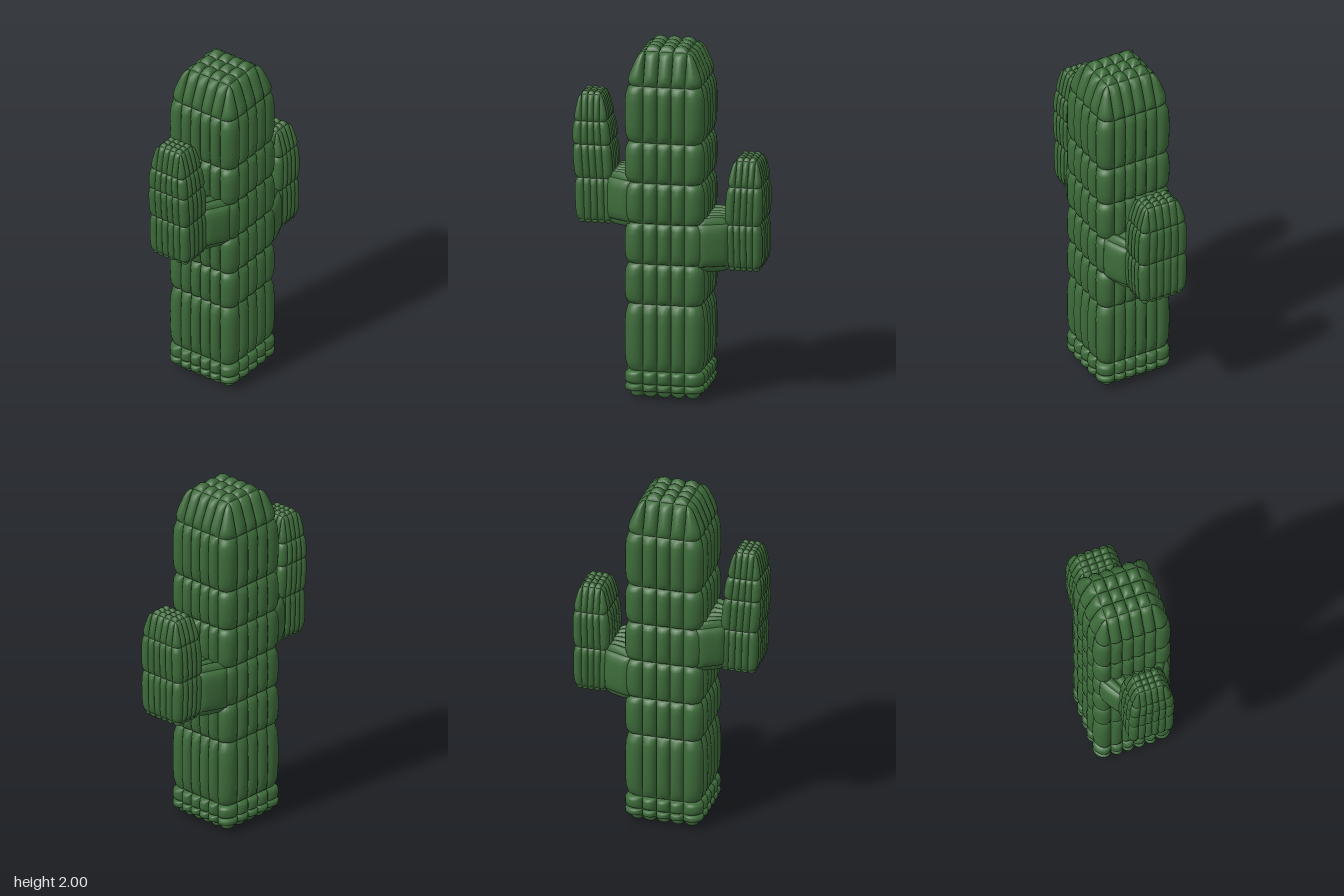
import * as THREE from 'three';
import { mergeGeometries } from 'three/addons/utils/BufferGeometryUtils.js';

const NX = 6, NZ = 5; // ribs across the front and across the side

const lerp = (a, b, t) => a + (b - a) * t;
const round = t => Math.sqrt(Math.max(0, 1 - (2 * t - 1) ** 2));
const plump = t => Math.sqrt(Math.max(0, 1 - (2 * t - 1) ** 4));
const soft = v => Math.sign(v) * Math.abs(v) ** 0.65;

// One smooth patch, with points crowded towards its edges
function patch(point, nu, nv) {
  const pos = [], index = [];
  const ease = (i, n) => (1 - Math.cos(Math.PI * i / n)) / 2;
  for (let j = 0; j <= nv; j++)
    for (let i = 0; i <= nu; i++) pos.push(...point(ease(i, nu), ease(j, nv)));
  for (let j = 0; j < nv; j++)
    for (let i = 0; i < nu; i++) {
      const a = j * (nu + 1) + i, b = a + 1, c = a + nu + 1, d = c + 1;
      index.push(a, b, d, a, d, c);
    }
  const g = new THREE.BufferGeometry();
  g.setAttribute('position', new THREE.Float32BufferAttribute(pos, 3));
  g.setIndex(index);
  g.computeVertexNormals();
  return g;
}

// Puffed four-cornered cell, corners counter-clockwise from outside
function pillow(a, b, c, d, h, bu = round, bv = round, n = 6) {
  const [A, B, C, D] = [a, b, c, d].map(p => new THREE.Vector3(...p));
  const normal = C.clone().sub(A).cross(D.clone().sub(B)).normalize();
  return patch((u, v) => A.clone().lerp(B, u).lerp(D.clone().lerp(C, u), v)
    .addScaledVector(normal, h * bu(u) * bv(v)).toArray(), n, n);
}

// Flat grid of bumps closing the top (dir 1) or bottom (dir -1)
function cap(ix, iz, y, cz, h, dir) {
  const out = [], nx = NX - 2, nz = NZ - 2;
  for (let i = 0; i < nx; i++)
    for (let j = 0; j < nz; j++) {
      const x0 = lerp(-ix, ix, i / nx), x1 = lerp(-ix, ix, (i + 1) / nx);
      const z0 = cz + dir * lerp(iz, -iz, j / nz), z1 = cz + dir * lerp(iz, -iz, (j + 1) / nz);
      out.push(pillow([x0, y, z0], [x1, y, z0], [x1, y, z1], [x0, y, z1], h));
    }
  return out;
}

// Ribbed square column. levels: [y, centre z, scale, corner radius 0..1]
function column(hx, hz, h, levels) {
  const ix = hx * (1 - 2 / NX), iz = hz * (1 - 2 / NZ), rx = hx - ix, rz = hz - iz;
  const corners = [[ix, iz], [ix, -iz], [-ix, -iz], [-ix, iz]];
  const ribs = [];
  corners.forEach((c, k) => {
    const prev = corners[(k + 3) % 4], t0 = k * Math.PI / 2;
    const n = (k % 2 ? NZ : NX) - 2, s0 = Math.round(Math.sin(t0)), c0 = Math.round(Math.cos(t0));
    // straight ribs along one side
    for (let i = 0; i < n; i++)
      ribs.push({ seg: 6, bulge: round, at: (u, r) => {
        const t = (i + u) / n;
        return [lerp(prev[0], c[0], t) + r * rx * s0, lerp(prev[1], c[1], t) + r * rz * c0, s0, c0];
      } });
    // one wide rib round the corner
    ribs.push({ seg: 12, bulge: plump, at: (u, r) => {
      const t = t0 + u * Math.PI / 2, s = Math.sin(t), q = Math.cos(t);
      return [c[0] + r * rx * soft(s), c[1] + r * rz * soft(q), s, q];
    } });
  });
  const parts = [];
  for (let l = 0; l < levels.length - 1; l++) {
    const [y0, z0, s0, r0] = levels[l], [y1, z1, s1, r1] = levels[l + 1];
    const grow = s1 * (ix + r1 * rx) - s0 * (ix + r0 * rx);
    const tilt = Math.atan2(-grow, y1 - y0);
    for (const rib of ribs)
      parts.push(patch((u, v) => {
        const [x, z, nx, nz] = rib.at(u, lerp(r0, r1, v)), s = lerp(s0, s1, v);
        const b = h * rib.bulge(u) * plump(v), out = b * Math.cos(tilt);
        return [x * s + nx * out, lerp(y0, y1, v) + b * Math.sin(tilt), lerp(z0, z1, v) + z * s + nz * out];
      }, rib.seg, 8));
  }
  const lo = levels[0], hi = levels[levels.length - 1];
  parts.push(...cap(ix * lo[2], iz * lo[2], lo[0], lo[1], h, -1));
  parts.push(...cap(ix * hi[2], iz * hi[2], hi[0], hi[1], h, 1));
  return mergeGeometries(parts);
}

// Tapering joint from the trunk out to an arm
function joint(w0, w1, y0, y1, z0, z1, h) {
  const parts = [];
  for (let i = 0; i < NX; i++) {
    const a = 2 * i / NX - 1, b = 2 * (i + 1) / NX - 1;
    parts.push(pillow([a * w1, y1, z1], [b * w1, y1, z1], [b * w0, y1, z0], [a * w0, y1, z0], h, round, plump));
    parts.push(pillow([a * w0, y0, z0], [b * w0, y0, z0], [b * w1, y0, z1], [a * w1, y0, z1], h, round, plump));
  }
  parts.push(pillow([w1, y0, z1], [w0, y0, z0], [w0, y1, z0], [w1, y1, z1], h, plump, plump, 10));
  parts.push(pillow([-w0, y0, z0], [-w1, y0, z1], [-w1, y1, z1], [-w0, y1, z0], h, plump, plump, 10));
  return mergeGeometries(parts);
}

export function createModel() {
  const model = new THREE.Group();
  const green = new THREE.MeshStandardMaterial({ color: 0x3d6b3a });
  const add = (parent, name, geometry) => {
    const mesh = new THREE.Mesh(geometry, green);
    mesh.name = name;
    parent.add(mesh);
  };

  // Trunk: two thin rows at the foot, tall rows above, sloped crown
  const rows = [0.045, 0.085, 0.16, 0.54, 0.77, 1.0, 1.23, 1.46, 1.78];
  add(model, 'trunk', column(0.196, 0.196, 0.034, [
    [0.034, 0, 1, 0], ...rows.map(y => [y, 0, 1, 1]), [1.966, 0, 1, 0]]));

  // Front arm, leaning slightly outwards
  const frontArm = new THREE.Group();
  frontArm.name = 'frontArm';
  add(frontArm, 'frontArmJoint', joint(0.19, 0.105, 1.0, 1.235, 0.19, 0.33, 0.034));
  add(frontArm, 'frontArmColumn', column(0.117, 0.094, 0.018, [
    [0.975, 0.405, 1, 0], [0.985, 0.405, 1, 1], [1.22, 0.412, 1, 1], [1.41, 0.425, 1, 1],
    [1.54, 0.432, 0.9, 1], [1.685, 0.436, 0.9, 0]]));
  model.add(frontArm);

  // Back arm, lower and shorter
  const backArm = new THREE.Group();
  backArm.name = 'backArm';
  add(backArm, 'backArmJoint', joint(0.19, 0.125, 0.765, 1.005, 0.19, 0.35, 0.034));
  add(backArm, 'backArmColumn', column(0.135, 0.09, 0.02, [
    [0.75, 0.433, 0.95, 0], [0.76, 0.433, 0.95, 1], [1.0, 0.43, 1, 1],
    [1.215, 0.438, 0.96, 1], [1.355, 0.44, 0.96, 0]]));
  backArm.rotation.y = Math.PI;
  model.add(backArm);

  return model;
}
